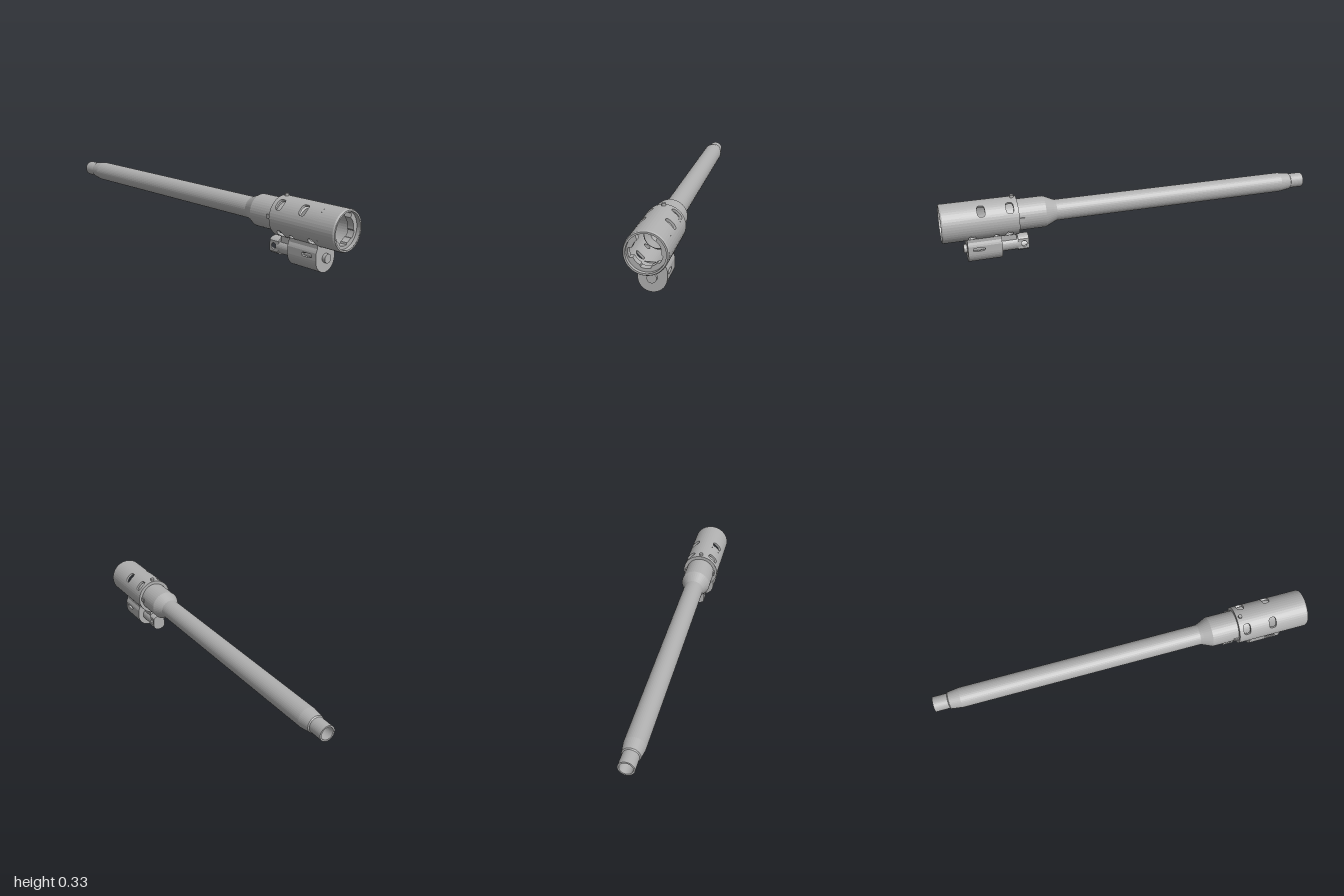
import * as THREE from 'three';

const AXIS = 0.217, DEG = Math.PI / 180;
const steel = new THREE.MeshStandardMaterial({ color: 0xb0b0b0 });
steel.name = 'steel grey';

// Faceted mesh
function add(parent, name, geo) {
  const g = geo.index ? geo.toNonIndexed() : geo;
  g.computeVertexNormals();
  const m = new THREE.Mesh(g, steel);
  m.name = name;
  parent.add(m);
  return m;
}

function toGeometry(pos) {
  const g = new THREE.BufferGeometry();
  g.setAttribute('position', new THREE.Float32BufferAttribute(pos, 3));
  return g;
}

const quad = (out, a, b, c, d) => out.push(...a, ...b, ...c, ...a, ...c, ...d);

// Thick curved patch; map(u, v, depth) gives a point, depth 0 outside and 1 inside
function patch(out, map, u0, u1, v0, v1, steps = 1) {
  for (let i = 0; i < steps; i++) {
    const a = u0 + (u1 - u0) * i / steps, b = u0 + (u1 - u0) * (i + 1) / steps;
    quad(out, map(a, v0, 0), map(b, v0, 0), map(b, v1, 0), map(a, v1, 0));
    quad(out, map(a, v1, 1), map(b, v1, 1), map(b, v0, 1), map(a, v0, 1));
  }
}

// Same patch with a rounded opening: rings blend from the rectangle to the hole
function holedPatch(out, map, u0, u1, v0, v1, h) {
  const n = 32, rings = 3;
  const point = (i, t) => {
    const k = (i % n) / n * 4, side = Math.floor(k), f = (k - side) * 2 - 1;
    const q = [[1, f], [-f, 1], [-1, -f], [f, -1]][side];
    const a = Math.atan2(q[1], q[0]), c = Math.cos(a), s = Math.sin(a), e = h.round || 1;
    const hu = h.u + h.ru * Math.sign(c) * Math.abs(c) ** e;
    const hv = h.v + h.rv * Math.sign(s) * Math.abs(s) ** e;
    const ru = u0 + (u1 - u0) * (q[0] + 1) / 2, rv = v0 + (v1 - v0) * (q[1] + 1) / 2;
    return [ru + (hu - ru) * t, rv + (hv - rv) * t];
  };
  for (let i = 0; i < n; i++) {
    for (let j = 0; j < rings; j++) {
      const p = [point(i, j / rings), point(i + 1, j / rings),
        point(i + 1, (j + 1) / rings), point(i, (j + 1) / rings)];
      quad(out, ...p.map(w => map(...w, 0)));
      quad(out, ...p.reverse().map(w => map(...w, 1)));
    }
    const a = point(i, 1), b = point(i + 1, 1);
    quad(out, map(...a, 0), map(...b, 0), map(...b, 1), map(...a, 1));
  }
}

// Flat ring facing +z or -z
function ring(parent, name, inner, outer, y, z, back) {
  const g = new THREE.RingGeometry(inner, outer, 48);
  if (back) g.rotateY(Math.PI);
  add(parent, name, g.translate(0, y, z));
}

function rod(parent, name, r, z0, z1, y, x = 0) {
  add(parent, name, new THREE.CylinderGeometry(r, r, z1 - z0, 32)
    .rotateX(Math.PI / 2).translate(x, y, (z0 + z1) / 2));
}

function buildBarrel(parent) {
  const profile = [[0.032, -1], [0.04, -1], [0.04, -0.925], [0.045, -0.92], [0.053, -0.86],
    [0.054, 0.42], [0.06, 0.435], [0.08, 0.48], [0.08, 0.63], [0.066, 0.63], [0.066, 0.76],
    [0.06, 0.77], [0.032, 0.76], [0.032, -1]].map(p => new THREE.Vector2(...p));
  add(parent, 'barrel', new THREE.LatheGeometry(profile, 40)
    .rotateX(Math.PI / 2).translate(0, AXIS, 0));
}

function buildSleeve(parent) {
  const out = [];
  const map = (u, v, d) => {
    const r = d ? 0.086 : v > 0.992 ? 0.094 : 0.098;
    return [r * Math.cos(u * DEG), AXIS + r * Math.sin(u * DEG), v];
  };
  const rows = [0.62, 0.70, 0.76, 0.90, 0.992, 1];
  // Upper vents and lower round holes, mirrored left and right
  const vents = { 0: { v: 0.662, u: 46, ru: 18, rv: 0.019, round: 0.6 },
    2: { v: 0.803, u: 46, ru: 18, rv: 0.019, round: 0.6 } };
  const drains = { 0: { v: 0.67, u: -47, ru: 16, rv: 0.019 },
    1: { v: 0.735, u: -50, ru: 10, rv: 0.014 }, 2: { v: 0.855, u: -47, ru: 16, rv: 0.019 } };
  const flip = h => h && { ...h, u: 180 - h.u };
  const columns = [[-72, -24], [-24, 24], [24, 68, vents], [68, 112], [112, 156, vents, true],
    [156, 204], [204, 252, drains, true], [252, 288]];
  columns[0].push(drains);
  for (const [u0, u1, holes, mirrored] of columns) {
    for (let r = 0; r < rows.length - 1; r++) {
      const h = holes && (mirrored ? flip(holes[r]) : holes[r]);
      if (h) holedPatch(out, map, u0, u1, rows[r], rows[r + 1], h);
      else patch(out, map, u0, u1, rows[r], rows[r + 1], 6);
    }
  }
  add(parent, 'sleeve', toGeometry(out));
  ring(parent, 'sleeveFrontRim', 0.086, 0.094, AXIS, 1);
  ring(parent, 'sleeveRearRim', 0.079, 0.098, AXIS, 0.62, true);

  // Locking ring with notches inside the mouth
  const shape = new THREE.Shape().absarc(0, 0, 0.0865, 0, Math.PI * 2);
  const pts = [];
  for (let a = 0; a < 360; a += 4) {
    const r = a >= 56 && a <= 124 ? 0.082 : a >= 168 && a <= 200 ? 0.079
      : a >= 246 && a <= 286 ? 0.071 : a >= 320 && a <= 348 ? 0.07 : 0.063;
    pts.push(new THREE.Vector2(r * Math.cos(a * DEG), r * Math.sin(a * DEG)));
  }
  shape.holes.push(new THREE.Path(pts));
  add(parent, 'lockingRing', new THREE.ExtrudeGeometry(shape,
    { depth: 0.035, bevelEnabled: false, curveSegments: 24 }).translate(0, AXIS, 0.945));

  // Sloped feed ramp above the breech
  const ramp = [];
  for (let a = 56; a < 124; a += 8.5) {
    const p = (u, r, z) => [r * Math.cos(u * DEG), AXIS + r * Math.sin(u * DEG), z];
    quad(ramp, p(a, 0.086, 0.745), p(a, 0.064, 0.70), p(a + 8.5, 0.064, 0.70), p(a + 8.5, 0.086, 0.745));
  }
  add(parent, 'feedRamp', toGeometry(ramp));

  add(parent, 'topPin', new THREE.CylinderGeometry(0.01, 0.01, 0.03, 16).translate(0, 0.312, 0.64));
  for (const s of [-1, 1]) {
    add(parent, 'indexKey', new THREE.BoxGeometry(0.012, 0.02, 0.03).translate(s * 0.079, 0.22, 0.608));
  }
}

function buildLug(parent) {
  const C = 0.065, z0 = 0.71, z1 = 0.88;
  const side = [[0.065, C], [0.065, 0.1], [0.062, 0.109], [0.057, 0.12], [0.057, 0.138]];
  const arc = [];
  for (let a = 190; a < 360; a += 10) arc.push([C * Math.cos(a * DEG), C + C * Math.sin(a * DEG)]);
  const outline = [...side.map(([x, y]) => [-x, y]).reverse(), ...arc, ...side];

  // Skin with a slot through each cheek
  const out = [];
  for (let i = 0; i < outline.length - 1; i++) {
    const [a, b] = [outline[i], outline[i + 1]];
    const map = (u, v, d) => {
      const k = d ? 0.7 : 1;
      return [(a[0] + (b[0] - a[0]) * u) * k, C + (a[1] + (b[1] - a[1]) * u - C) * k, v];
    };
    const cheek = Math.abs(a[0]) === C && Math.abs(b[0]) === C && Math.abs(a[1] - b[1]) > 0.03;
    if (cheek) holedPatch(out, map, 0, 1, z0, z1, { u: 0.5, v: 0.825, ru: 0.26, rv: 0.03, round: 0.6 });
    else patch(out, map, 0, 1, z0, z1);
  }
  add(parent, 'lugBody', toGeometry(out));

  // End plates
  const shape = new THREE.Shape(outline.map(p => new THREE.Vector2(...p)));
  add(parent, 'lugFront', new THREE.ShapeGeometry(shape).translate(0, 0, z1));
  add(parent, 'lugBack', new THREE.ExtrudeGeometry(shape,
    { depth: 0.004, bevelEnabled: false }).translate(0, 0, z0));
  add(parent, 'rearWeb', new THREE.BoxGeometry(0.05, 0.035, 0.08).translate(0, 0.11, 0.672));

  // Guide rod through the lug
  rod(parent, 'rodTip', 0.022, 0.71, 0.896, 0.068);
  rod(parent, 'rodBody', 0.036, 0.61, 0.712, 0.066);

  // Flat-sided rod head with a cross hole
  const head = [];
  const R = 0.043, flat = x => Math.max(-0.034, Math.min(0.034, x));
  const map = (u, v, d) => {
    const r = d ? 0.03 : R;
    return [flat(r * Math.cos(u * DEG)), 0.068 + r * Math.sin(u * DEG), v];
  };
  for (const c of [0, 180]) {
    holedPatch(head, map, c - 37.8, c + 37.8, 0.57, 0.625, { u: c, v: 0.595, ru: 22, rv: 0.014 });
    patch(head, map, c + 37.8, c + 142.2, 0.57, 0.625, 8);
  }
  add(parent, 'rodHead', toGeometry(head));
  for (const back of [true, false]) {
    const g = new THREE.CircleGeometry(R, 48);
    const p = g.attributes.position;
    for (let i = 0; i < p.count; i++) p.setX(i, flat(p.getX(i)));
    if (back) g.rotateY(Math.PI);
    add(parent, 'rodHeadCap', g.translate(0, 0.068, back ? 0.57 : 0.625));
  }
}

export function createModel() {
  const model = new THREE.Group();
  model.name = 'barrelAssembly';
  for (const [name, build] of [['barrelGroup', buildBarrel], ['sleeveGroup', buildSleeve], ['lugGroup', buildLug]]) {
    const g = new THREE.Group();
    g.name = name;
    build(g);
    model.add(g);
  }
  return model;
}
